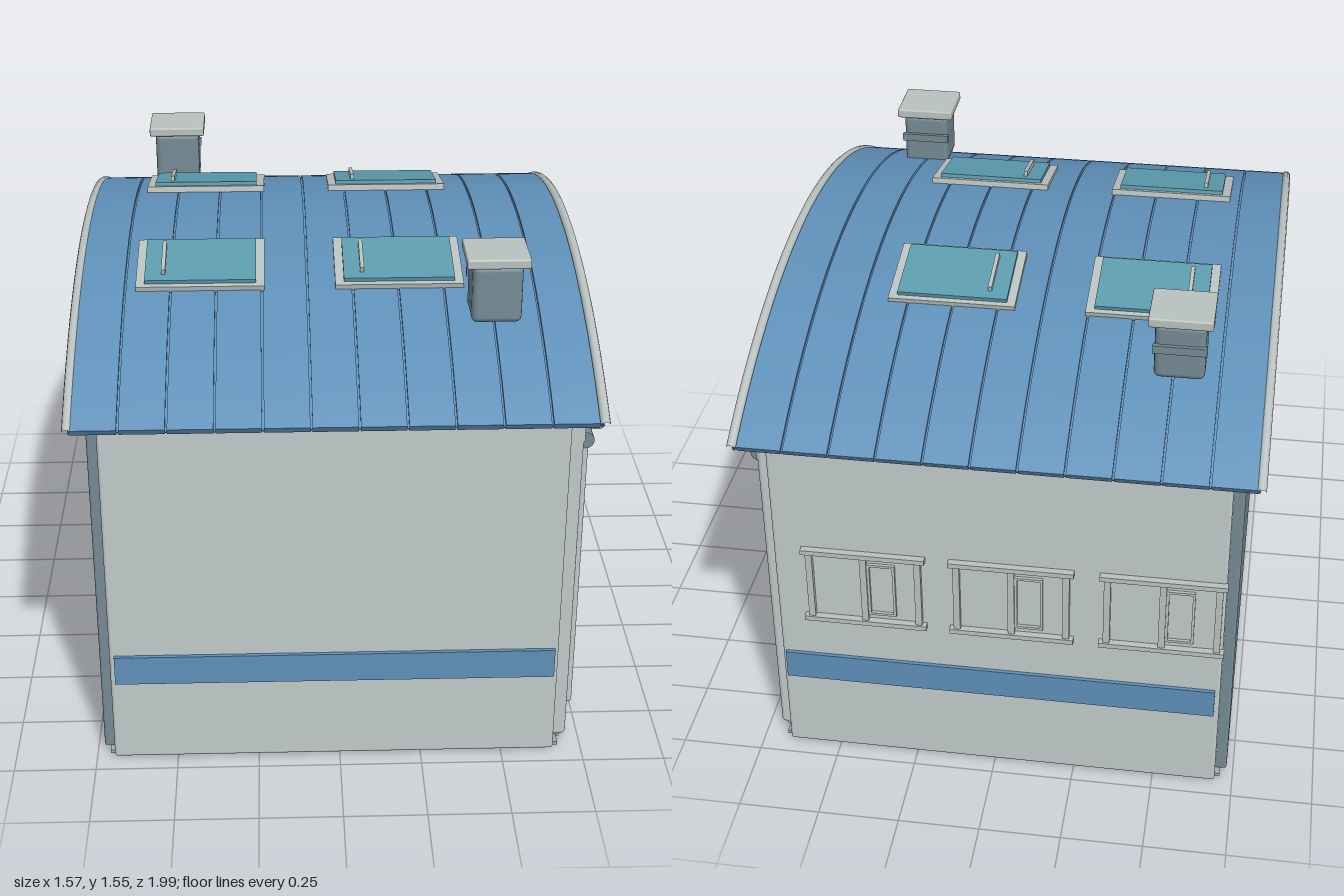
import * as THREE from 'three';
import { toCreasedNormals } from 'three/addons/utils/BufferGeometryUtils.js';
import { RoundedBoxGeometry } from 'three/addons/geometries/RoundedBoxGeometry.js';

const mat = (name, color) => Object.assign(new THREE.MeshStandardMaterial({ color }), { name });

export function createModel() {
  const wall = mat('pale grey wall', 0xc2cccb);
  const slate = mat('slate', 0x768b95);
  const blue = mat('blue', 0x5f90b9);
  const teal = mat('teal glass', 0x5c9cae);
  const card = mat('cardboard', 0xcbab80);
  const yellow = mat('yellow', 0xdcb75e);
  const trim = mat('grey trim', 0xbac2c0);
  const amber = mat('amber', 0xcb9f62);
  const base = mat('grey base', 0xa6abab);

  const model = new THREE.Group();
  const add = (name, geo, material, parent = model) => {
    const m = new THREE.Mesh(geo, material);
    m.name = name;
    parent.add(m);
    return m;
  };
  // Box given by its limits on each axis, optionally with rounded edges
  const box = (name, material, [x0, x1], [y0, y1], [z0, z1], r = 0, parent = model) => {
    const d = [x1 - x0, y1 - y0, z1 - z0];
    const geo = r ? new RoundedBoxGeometry(...d, 2, r) : new THREE.BoxGeometry(...d);
    add(name, geo, material, parent).position.set((x0 + x1) / 2, (y0 + y1) / 2, (z0 + z1) / 2);
  };
  const span = (s, a, b) => (s > 0 ? [a, b] : [-b, -a]);
  const group = (name, parent = model) => {
    const g = new THREE.Group();
    g.name = name;
    parent.add(g);
    return g;
  };

  // Base and tiled floor
  box('basePlate', base, [-0.71, 0.68], [0, 0.012], [-0.92, 0.92]);
  box('floorSlab', base, [-0.69, 0.69], [0.006, 0.036], [-0.88, 0.88]);
  box('threshold', wall, [0.66, 0.715], [0.005, 0.04], [-0.75, 0.75]);
  const nx = 4, nz = 5, tx = 1.35 / nx, tz = 1.76 / nz;
  for (let i = 0; i < nx; i++) {
    for (let j = 0; j < nz; j++) {
      const x = -0.69 + i * tx, z = -0.88 + j * tz;
      box('floorTile', wall, [x + 0.004, x + tx - 0.004], [0.03, 0.04], [z + 0.004, z + tz - 0.004]);
    }
  }

  // Walls, door pillars and lintel
  box('backWall', slate, [-0.73, -0.69], [0.01, 1.15], [-0.895, 0.895], 0.008);
  box('lintel', wall, [0.65, 0.715], [1.035, 1.155], [-0.88, 0.88], 0.012);
  for (const s of [1, -1]) {
    box('sideWall', wall, [-0.695, 0.662], [0.008, 1.153], span(s, 0.88, 0.95), 0.01);
    box('doorPillar', wall, [0.63, 0.71], [0.012, 1.15], span(s, 0.735, 0.885), 0.014);
    box('sideStripe', blue, [-0.68, 0.65], [0.285, 0.38], span(s, 0.945, 0.962));
    box('doorRail', wall, [0.71, 0.75], [0.03, 1.0], span(s, 0.7, 0.738), 0.01);
    box('bollard', yellow, [0.625, 0.715], [0.012, 0.275], span(s, 0.66, 0.702));
    box('backColumn', slate, [-0.69, -0.65], [0.04, 0.98], span(s, 0.572, 0.62));
    const track = add('ceilingTrack', new THREE.CylinderGeometry(0.013, 0.013, 0.42, 12), slate);
    track.rotation.z = Math.PI / 2;
    track.position.set(-0.48, 0.97, s * 0.6);
    // Door drive housings
    box('driveHousing', slate, [0.71, 0.768], [1.022, 1.075], span(s, 0.635, 0.755), 0.008);
    box('driveLamp', amber, [0.765, 0.785], [1.012, 1.035], span(s, 0.66, 0.735));
  }
  const roller = add('doorRoller', new THREE.CylinderGeometry(0.026, 0.026, 1.59, 20), slate);
  roller.rotation.x = Math.PI / 2;
  roller.position.set(0.73, 1.006, 0);

  // Arched roof made of panels along x
  const R = 1.95, cy = 1.437 - R, half = Math.asin(1 / R) - 0.003;
  const roof = group('roof');
  const arcPanel = (name, x0, x1, rOut, rIn) => {
    const s = new THREE.Shape();
    s.absarc(0, cy, rOut, Math.PI / 2 - half, Math.PI / 2 + half, false);
    s.absarc(0, cy, rIn, Math.PI / 2 + half, Math.PI / 2 - half, true);
    const geo = new THREE.ExtrudeGeometry(s, { depth: x1 - x0, bevelEnabled: false, curveSegments: 36 });
    geo.rotateY(Math.PI / 2).translate(x0, 0, 0);
    add(name, toCreasedNormals(geo, 0.5), blue, roof);
  };
  arcPanel('roofCore', -0.77, 0.745, R - 0.01, R - 0.016);
  const seams = [-0.77];
  for (let i = 0; i < 11; i++) seams.push(-0.63 + i * 0.1365);
  seams.push(0.745);
  for (let i = 0; i + 1 < seams.length; i++) {
    arcPanel('roofPanel', seams[i] + 0.003, seams[i + 1] - 0.003, R, R - 0.022);
  }
  // Rounded gable edging
  const arcPts = [];
  for (let i = 0; i <= 24; i++) {
    const a = -half + (2 * half * i) / 24;
    arcPts.push(new THREE.Vector3(0, cy + (R - 0.01) * Math.cos(a), (R - 0.01) * Math.sin(a)));
  }
  const edge = new THREE.TubeGeometry(new THREE.CatmullRomCurve3(arcPts), 48, 0.015, 10);
  for (const x of [-0.772, 0.748]) add('roofEdging', edge, trim, roof).position.x = x;

  // Skylights: frame with a hole, raised glass and a handle
  const frameShape = new THREE.Shape();
  frameShape.moveTo(-0.193, -0.13).lineTo(0.193, -0.13).lineTo(0.193, 0.13).lineTo(-0.193, 0.13);
  const hole = new THREE.Path();
  hole.moveTo(-0.16, -0.1).lineTo(-0.16, 0.1).lineTo(0.16, 0.1).lineTo(0.16, -0.1);
  frameShape.holes.push(hole);
  const frameGeo = new THREE.ExtrudeGeometry(frameShape, { depth: 0.02, bevelEnabled: false });
  frameGeo.rotateX(-Math.PI / 2);
  for (const [z, y] of [[0.366, 1.394], [-0.346, 1.398]]) {
    for (const x of [-0.405, 0.193]) {
      const g = group('skylight');
      g.position.set(x, y, z);
      g.rotation.x = Math.sign(z) * 0.2;
      add('skylightFrame', frameGeo, trim, g);
      box('skylightGlass', teal, [-0.167, 0.167], [0, 0.032], [-0.113, 0.113], 0, g);
      box('skylightHandle', trim, [-0.117, -0.105], [0.03, 0.048], [-0.08, 0.08], 0, g);
    }
  }

  // Roof vents
  for (const [x, y, z] of [[-0.512, 1.33, -0.642], [0.465, 1.34, 0.615]]) {
    const g = group('roofVent');
    g.position.set(x, y, z);
    box('ventBody', slate, [-0.074, 0.074], [0, 0.178], [-0.074, 0.074], 0.018, g);
    box('ventCap', trim, [-0.093, 0.093], [0.176, 0.206], [-0.09, 0.09], 0.006, g);
    box('ventSlat', slate, [-0.078, 0.078], [0.09, 0.115], [-0.086, -0.07], 0, g);
  }

  // Window frames on the rear side wall
  for (const x of [0.388, -0.059, -0.511]) {
    const g = group('window');
    g.position.set(x, 0, -0.95);
    for (const px of [-0.165, 0, 0.165]) {
      box('windowPost', trim, [px - 0.01, px + 0.01], [0.53, 0.78], [-0.016, 0.002], 0, g);
    }
    for (const y of [0.525, 0.775]) {
      box('windowRail', trim, [-0.188, 0.188], [y, y + 0.016], [-0.022, 0.002], 0, g);
    }
    for (const px of [-0.095, -0.018]) {
      box('ventPaneSide', trim, [px, px + 0.008], [0.565, 0.75], [-0.01, 0.002], 0, g);
    }
    for (const y of [0.56, 0.742]) {
      box('ventPaneEdge', trim, [-0.095, -0.01], [y, y + 0.008], [-0.01, 0.002], 0, g);
    }
  }

  // Stored goods
  for (const [z0, z1, h] of [[0.21, 0.44, 0.28], [-0.105, 0.07, 0.24], [-0.4, -0.18, 0.3]]) {
    box('crate', card, [-0.5, -0.28], [0.04, h], [z0, z1]);
  }
  box('cabinet', card, [-0.24, -0.1], [0.06, 0.48], [-0.67, -0.535]);
  box('cabinetTop', slate, [-0.243, -0.097], [0.475, 0.5], [-0.675, -0.53]);
  box('cabinetFoot', slate, [-0.22, -0.12], [0.04, 0.06], [-0.65, -0.555]);
  for (const y of [0.2, 0.335]) box('cabinetHandle', trim, [-0.1, -0.09], [y - 0.006, y + 0.006], [-0.655, -0.55]);

  return model;
}
